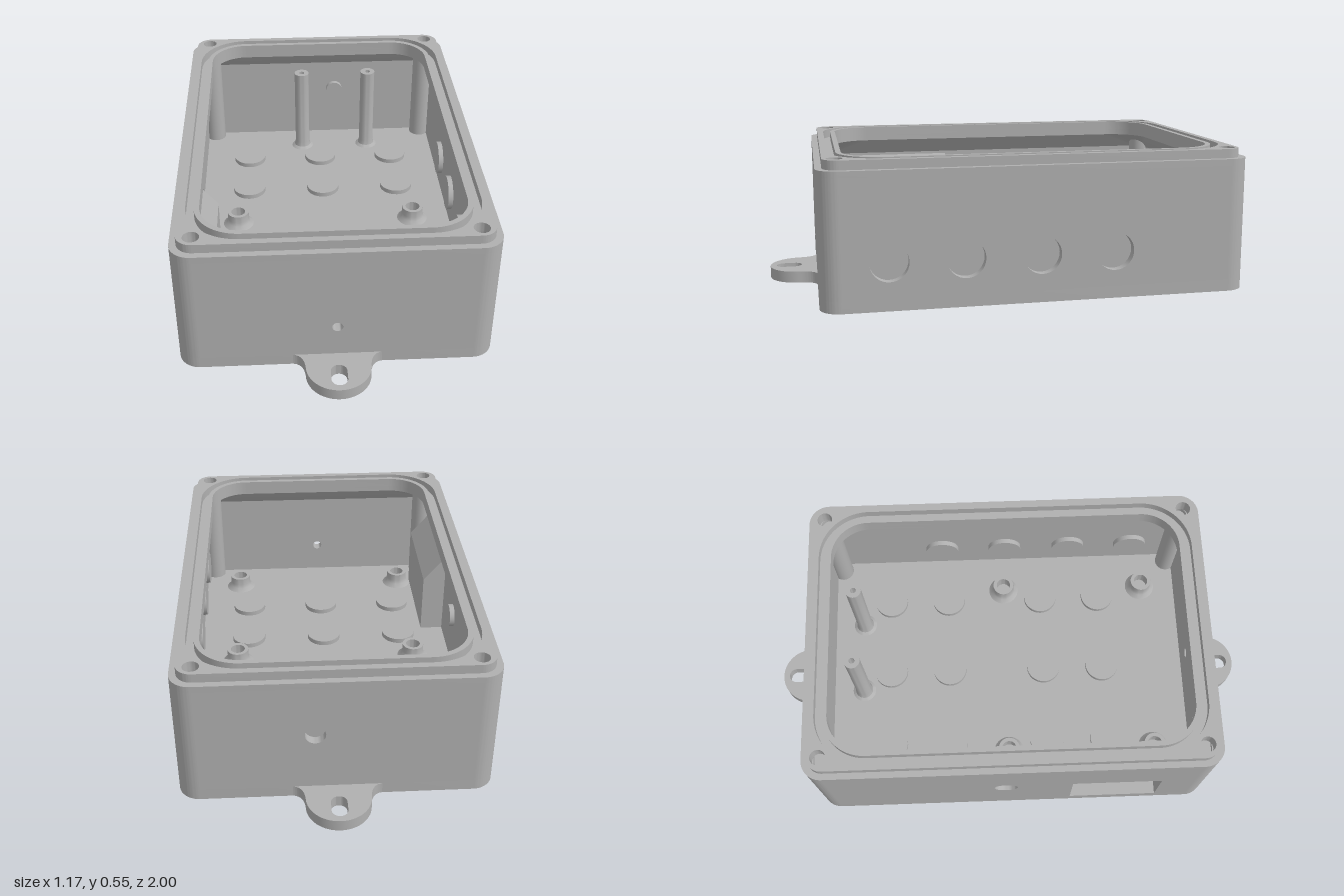
import * as THREE from 'three';
import { toCreasedNormals } from 'three/addons/utils/BufferGeometryUtils.js';

const HX = 0.585, HZ = 0.815, T = 0.045, R = 0.08; // half sizes, wall thickness, corner radius
const SHELF = 0.49, WALL_TOP = 0.515, TOP = 0.55;
const UP = -Math.PI / 2;

// Rounded rectangle at a given inset from the outer walls
function outline(inset, r, Kind = THREE.Shape) {
  const x = HX - inset, z = HZ - inset, s = new Kind();
  s.moveTo(x, -z + r);
  s.lineTo(x, z - r);
  s.absarc(x - r, z - r, r, 0, Math.PI / 2);
  s.lineTo(-x + r, z);
  s.absarc(-x + r, z - r, r, Math.PI / 2, Math.PI);
  s.lineTo(-x, -z + r);
  s.absarc(-x + r, -z + r, r, Math.PI, Math.PI * 1.5);
  s.lineTo(x - r, -z);
  s.absarc(x - r, -z + r, r, Math.PI * 1.5, Math.PI * 2);
  return s;
}

const circle = (x, y, r) => new THREE.Path().absarc(x, y, r, 0, Math.PI * 2, true);

function extrude(shape, depth) {
  const g = new THREE.ExtrudeGeometry(shape, { depth, bevelEnabled: false, curveSegments: 16 });
  return toCreasedNormals(g, 0.6);
}

// Horizontal slab between two heights; shape y becomes -z
function slab(shape, y0, y1) {
  return extrude(shape, y1 - y0).rotateX(UP).translate(0, y0, 0);
}

const lathe = (pts, n = 32) =>
  toCreasedNormals(new THREE.LatheGeometry(pts.map(p => new THREE.Vector2(...p)), n), 0.6);

export function createModel() {
  const model = new THREE.Group();
  const plastic = new THREE.MeshStandardMaterial({ color: 0xb0b0b0, side: THREE.DoubleSide });
  plastic.name = 'grey plastic';
  const add = (name, geometry, parent = model) => {
    const m = new THREE.Mesh(geometry, plastic);
    m.name = name;
    parent.add(m);
    return m;
  };

  // Floor with recessed knockouts that stand proud inside
  const floor = outline(0, R);
  for (const x of [-0.335, 0, 0.335]) for (const z of [-0.52, -0.26, 0.155, 0.415]) {
    floor.holes.push(circle(x, -z, 0.072));
    add('floorKnockout', new THREE.CylinderGeometry(0.072, 0.072, 0.03, 32).translate(x, 0.05, z));
  }
  add('floor', slab(floor, 0, T));

  // Walls: holes are [along, height, radius, blind]
  function wall(name, angle, half, dist, holes, window) {
    const g = new THREE.Group();
    g.name = name;
    g.rotation.y = angle;
    model.add(g);
    const w = half - R, s = new THREE.Shape();
    s.moveTo(-w, T); s.lineTo(w, T); s.lineTo(w, SHELF); s.lineTo(-w, SHELF); s.closePath();
    for (const [x, y, r, blind] of holes) {
      s.holes.push(circle(x, y, r));
      if (blind) add('wallKnockout', new THREE.CylinderGeometry(r, r, 0.03, 32)
        .rotateX(Math.PI / 2).translate(x, y, dist - 0.05), g);
    }
    if (window) {
      const [a, b, c, d] = window, p = new THREE.Path();
      p.moveTo(a, c); p.lineTo(a, d); p.lineTo(b, d); p.lineTo(b, c); p.closePath();
      s.holes.push(p);
    }
    add('wallPanel', extrude(s, T).translate(0, 0, dist - T), g);
  }
  wall('frontWall', 0, HX, HZ, [[0, 0.175, 0.02, false]]);
  wall('backWall', Math.PI, HX, HZ, [[-0.08, 0.285, 0.038, true]]);
  wall('leftWall', Math.PI / 2, HZ, HX, [-0.565, -0.285, 0, 0.28].map(z => [z, 0.18, 0.072, true]));
  wall('rightWall', -Math.PI / 2, HZ, HX, [[-0.03, 0.26, 0.047, true]], [0.24, 0.6, 0.05, 0.29]);

  // Rounded wall corners with screw columns
  [[1, 1, 0], [-1, 1, 1], [-1, -1, 2], [1, -1, 3]].forEach(([sx, sy, q]) => {
    const a = q * Math.PI / 2, b = a + Math.PI / 2, s = new THREE.Shape();
    const cx = sx * (HX - R), cy = sy * (HZ - R);
    s.absarc(cx, cy, R, a, b, false);
    s.absarc(cx, cy, R - T, b, a, true);
    add('wallCorner', slab(s, T, SHELF));
    add('screwColumn', new THREE.CylinderGeometry(0.045, 0.045, 0.43, 24)
      .translate(sx * 0.505, 0.255, sy * 0.745));
  });

  // Rim: shelf, outer lip, gasket groove floor and inner lip
  function rim(name, outer, inner, y0, y1, screws) {
    const s = outline(...outer);
    s.holes.push(outline(...inner, THREE.Path));
    if (screws) for (const x of [-0.505, 0.505]) for (const z of [-0.745, 0.745])
      s.holes.push(circle(x, z, 0.03));
    add(name, slab(s, y0, y1));
  }
  rim('rimShelf', [0, R], [0.10, 0.15], SHELF, WALL_TOP, true);
  rim('outerLip', [0.025, 0.06], [0.05, 0.2], WALL_TOP, TOP, true);
  rim('innerLip', [0.08, 0.17], [0.10, 0.15], WALL_TOP, TOP, false);

  // Sloped underside joining the rim to the thinner walls
  const loops = [[0.10, 0.15, SHELF], [T, R - T, 0.425]].map(([i, r, y]) =>
    outline(i, r).getPoints(12).map(p => [p.x, y, -p.y]));
  const pos = [], n = loops[0].length;
  for (let i = 0; i < n; i++) {
    const j = (i + 1) % n, [u, l] = loops;
    pos.push(...u[i], ...l[i], ...u[j], ...u[j], ...l[i], ...l[j]);
  }
  const slope = new THREE.BufferGeometry();
  slope.setAttribute('position', new THREE.Float32BufferAttribute(pos, 3));
  // Face the slope inward and downward
  for (let i = 0; i < pos.length; i += 9) for (let k = 0; k < 3; k++) {
    const t = pos[i + 3 + k]; pos[i + 3 + k] = pos[i + 6 + k]; pos[i + 6 + k] = t;
  }
  slope.setAttribute('position', new THREE.Float32BufferAttribute(pos, 3));
  slope.computeVertexNormals();
  const ny = slope.attributes.normal.getY(0);
  if (ny > 0) {
    for (let i = 0; i < pos.length; i += 9) for (let k = 0; k < 3; k++) {
      const t = pos[i + 3 + k]; pos[i + 3 + k] = pos[i + 6 + k]; pos[i + 6 + k] = t;
    }
    slope.setAttribute('position', new THREE.Float32BufferAttribute(pos, 3));
    slope.computeVertexNormals();
  }
  add('rimUnderside', toCreasedNormals(slope, 0.6));

  // Mounting tabs with slots
  for (const side of [1, -1]) {
    const s = new THREE.Shape();
    s.moveTo(-0.165, 0.805);
    s.lineTo(0.165, 0.805);
    s.lineTo(0.165, 0.815);
    s.quadraticCurveTo(0.125, 0.82, 0.12, 0.88);
    s.absarc(0, 0.88, 0.12, 0, Math.PI, false);
    s.quadraticCurveTo(-0.125, 0.82, -0.165, 0.815);
    s.closePath();
    const slot = new THREE.Path();
    slot.absarc(0, 0.945, 0.03, 0, Math.PI, false);
    slot.absarc(0, 0.905, 0.03, Math.PI, Math.PI * 2, false);
    slot.closePath();
    s.holes.push(slot);
    add(side > 0 ? 'backTab' : 'frontTab', slab(s, 0, T)).rotation.y = side > 0 ? 0 : Math.PI;
  }

  // Short board standoffs with flared feet
  const standoff = [[0.065, T], [0.05, 0.06], [0.045, 0.075], [0.045, 0.105], [0.03, 0.105], [0.03, 0.05], [0, 0.05]];
  for (const x of [-0.38, 0.38]) for (const z of [-0.01, 0.615])
    add('boardStandoff', lathe(standoff).translate(x, 0, z));

  // Tall posts near the back wall
  const post = [[0.05, T], [0.038, 0.055], [0.033, 0.075], [0.033, 0.44], [0.012, 0.44], [0.012, 0.36], [0, 0.36]];
  for (const x of [-0.08, 0.23]) add('tallPost', lathe(post).translate(x, 0, -0.64));

  // Connector pocket behind the right wall window, with a sloped top inside
  const profile = pts => new THREE.Shape(pts.map(p => new THREE.Vector2(...p)));
  const solid = [[-0.545, T], [-0.445, T], [-0.445, 0.3], [-0.545, 0.42]];
  const hollow = [[-0.545, 0.29], [-0.48, 0.29], [-0.48, 0.05], [-0.545, 0.05], ...solid];
  add('pocketEnd', extrude(profile(solid), 0.04).translate(0, 0, 0.2));
  add('pocketEnd', extrude(profile(solid), 0.04).translate(0, 0, 0.6));
  add('pocketBack', extrude(profile(hollow), 0.36).translate(0, 0, 0.24));
  const ring = lathe([[0.065, 0], [0.065, 0.02], [0.045, 0.02], [0.045, 0]]);
  add('connectorRing', ring.rotateZ(Math.PI / 2).translate(-0.48, 0.15, 0.47));
  add('connectorNut', new THREE.CylinderGeometry(0.03, 0.03, 0.02, 6).toNonIndexed()
    .rotateZ(Math.PI / 2).translate(-0.487, 0.15, 0.47));

  return model;
}
